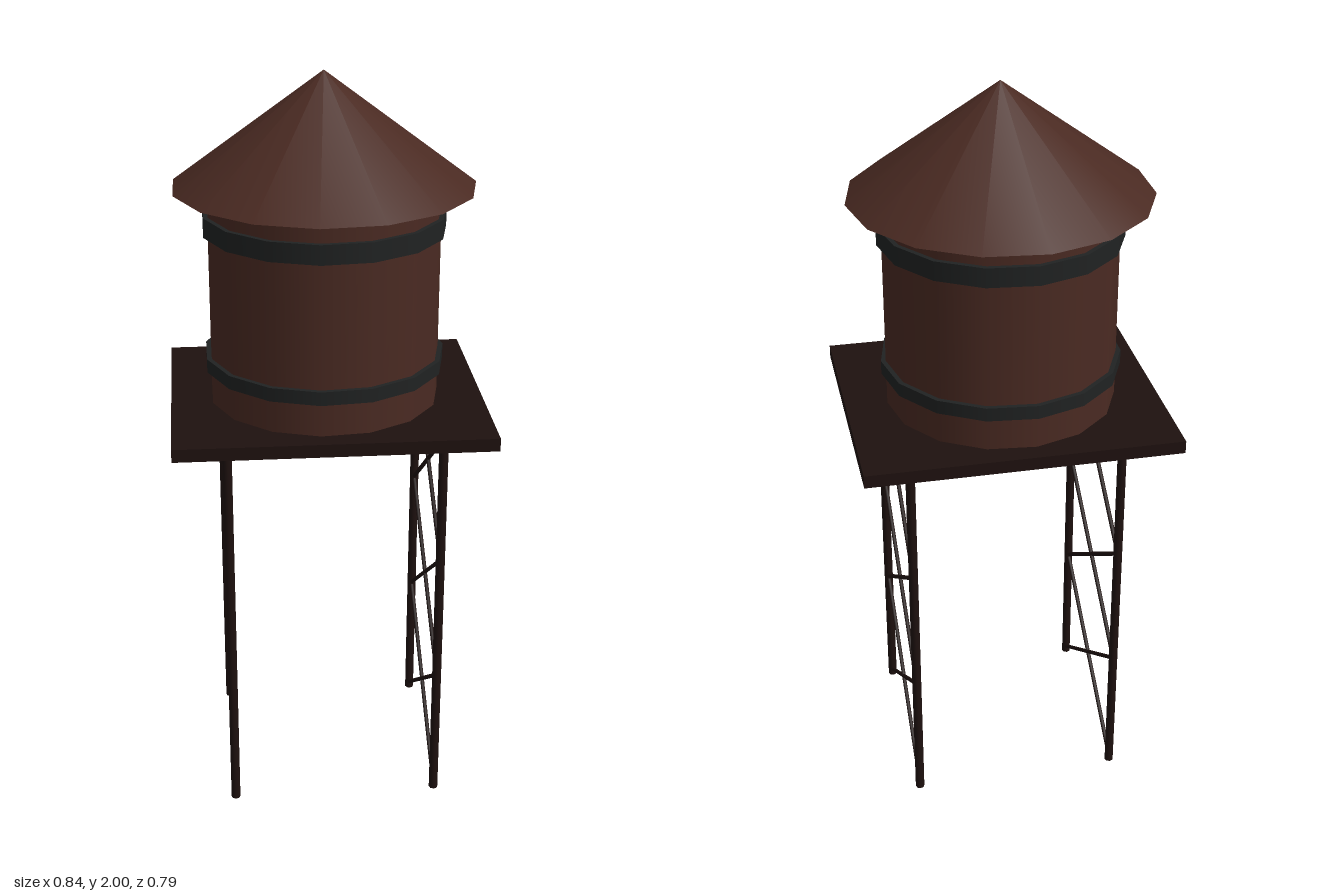
import * as THREE from 'three';

const SIDES = 15;
const brown = new THREE.MeshStandardMaterial({ color: 0x4a2a22 });
const dark = new THREE.MeshStandardMaterial({ color: 0x1e110f });
const iron = new THREE.MeshStandardMaterial({ color: 0x202222 });

export function createModel() {
  const model = new THREE.Group();

  const add = (name, geometry, material, x = 0, y = 0, z = 0) => {
    const mesh = new THREE.Mesh(geometry, material);
    mesh.name = name;
    mesh.position.set(x, y, z);
    model.add(mesh);
    return mesh;
  };

  // Upright round part with a corner on +x
  const drum = (name, rTop, rBottom, y0, y1, material) =>
    add(name, new THREE.CylinderGeometry(rTop, rBottom, y1 - y0, SIDES, 1, false, Math.PI / 2),
      material, -0.004, (y0 + y1) / 2, 0);

  // Thin bar between two points
  const bar = (name, a, b, radius, sides) => {
    const direction = b.clone().sub(a);
    const mesh = add(name, new THREE.CylinderGeometry(radius, radius, direction.length(), sides), dark);
    mesh.position.copy(a).add(b).multiplyScalar(0.5);
    mesh.quaternion.setFromUnitVectors(new THREE.Vector3(0, 1, 0), direction.normalize());
  };

  // Tank, hoops and conical roof
  drum('tank', 0.309, 0.309, 1.12, 1.71, brown);
  drum('lowerHoop', 0.322, 0.322, 1.22, 1.257, iron);
  drum('upperHoop', 0.322, 0.322, 1.59, 1.642, iron);
  const roof = drum('roof', 0, 0.397, 1.705, 2, brown);
  roof.geometry.dispose();
  roof.geometry = new THREE.ConeGeometry(0.397, 0.295, SIDES, 1, false, Math.PI / 2);

  // Platform
  add('platform', new THREE.BoxGeometry(0.836, 0.035, 0.72), dark, 0, 1.113, 0);

  // Legs, with three crossed braces on each side
  const legZ = 0.264;
  for (const x of [-0.277, 0.288]) {
    for (const s of [-1, 1]) {
      bar('leg', new THREE.Vector3(x, 0, s * legZ), new THREE.Vector3(x, 1.1, s * legZ), 0.0125, 8);
      for (let i = 0; i < 3; i++) {
        const y = 0.015 + i * 0.36;
        bar('brace', new THREE.Vector3(x, y, -s * legZ), new THREE.Vector3(x, y + 0.36, s * legZ), 0.006, 6);
      }
    }
  }
  return model;
}
